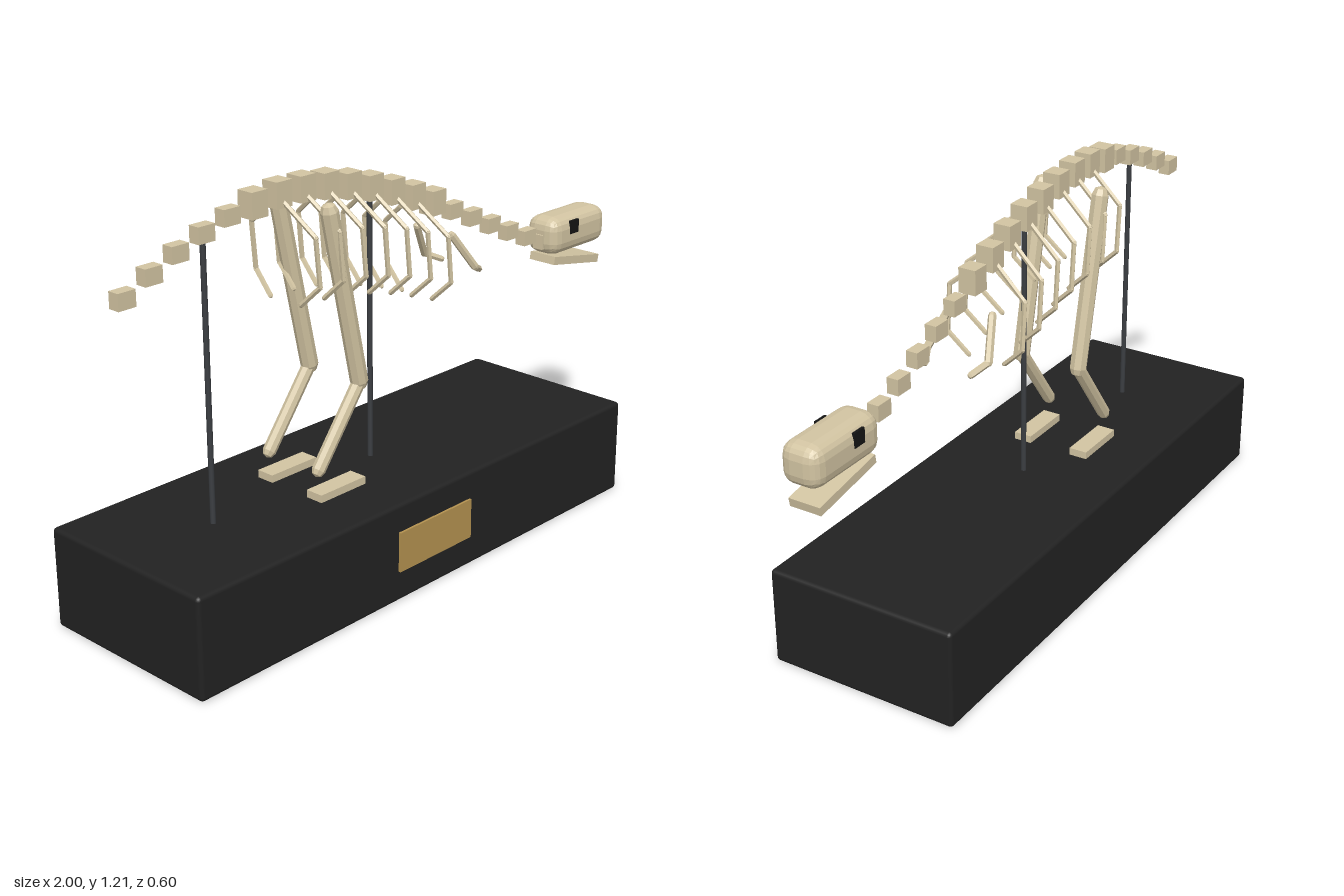
import * as THREE from 'three';
import { RoundedBoxGeometry } from 'three/addons/geometries/RoundedBoxGeometry.js';

const material = (name, color) => {
  const m = new THREE.MeshStandardMaterial({ color });
  m.name = name;
  return m;
};

export function createModel() {
  const root = new THREE.Group();
  root.name = 'mountedSkeleton';
  const bone = material('bone', 0xd2c4a2);
  const black = material('plinthBlack', 0x222222);
  const brass = material('brass', 0xb3914f);
  const steel = material('steel', 0x3b3e42);
  const dark = material('eyeBlack', 0x141414);
  bone.flatShading = true;

  const add = (parent, name, geometry, mat, x = 0, y = 0, z = 0) => {
    const mesh = new THREE.Mesh(geometry, mat);
    mesh.name = name;
    mesh.position.set(x, y, z);
    parent.add(mesh);
    return mesh;
  };
  const group = (name) => {
    const g = new THREE.Group();
    g.name = name;
    root.add(g);
    return g;
  };
  // Round-ended bone between two points
  const limb = (parent, name, a, b, radius, sides = 6) => {
    const from = new THREE.Vector3(...a), to = new THREE.Vector3(...b);
    const dir = to.clone().sub(from);
    const mesh = add(parent, name, new THREE.CapsuleGeometry(radius, dir.length(), 2, sides), bone);
    mesh.position.copy(from).add(to).multiplyScalar(0.5);
    mesh.quaternion.setFromUnitVectors(new THREE.Vector3(0, 1, 0), dir.normalize());
  };

  // Plinth and plaque
  add(root, 'plinth', new RoundedBoxGeometry(1.785, 0.3, 0.595, 2, 0.012), black, -0.107, 0.15, -0.002);
  add(root, 'plaque', new THREE.BoxGeometry(0.305, 0.122, 0.008), brass, -0.107, 0.155, 0.299);

  // Support rods
  for (const x of [-0.684, -0.062])
    add(root, 'supportRod', new THREE.CylinderGeometry(0.008, 0.008, 0.82, 8), steel, x, 0.7, 0);

  // Spine: small blocks in tail and neck, larger ones in the trunk
  const heights = [1.008, 1.05, 1.088, 1.12, 1.147, 1.163, 1.173, 1.172, 1.163, 1.145,
    1.122, 1.093, 1.06, 1.024, 0.979, 0.939, 0.897, 0.856, 0.819, 0.787];
  const spineX = (i) => -0.951 + 0.0891 * i;
  const spine = group('spine');
  heights.forEach((y, i) => {
    const trunk = i >= 5 && i <= 13;
    const size = trunk ? [0.057, 0.074, 0.055] : [0.057, 0.047, 0.036];
    add(spine, 'vertebra', new THREE.BoxGeometry(...size), bone, spineX(i), y, 0);
  });

  // Mirrored ribs, legs, feet and arms
  for (const side of [1, -1]) {
    const label = side > 0 ? 'left' : 'right';
    const ribs = group(label + 'Ribs');
    for (let i = 6; i <= 12; i++) {
      const at = (dx, dy, z) => [spineX(i) + dx, heights[i] + dy, side * z];
      const path = [at(0, -0.02, 0.02), at(0.018, -0.105, 0.124),
        at(0.031, -0.245, 0.125), at(0.022, -0.307, 0.06)];
      for (let k = 0; k < 3; k++) limb(ribs, 'rib', path[k], path[k + 1], 0.0075, 5);
    }

    const z = side * 0.099;
    const leg = group(label + 'Leg');
    limb(leg, 'thigh', [-0.322, 1.12, z], [-0.211, 0.605, z], 0.026, 8);
    limb(leg, 'shin', [-0.211, 0.605, z], [-0.377, 0.385, z], 0.02, 8);
    add(leg, 'foot', new THREE.BoxGeometry(0.177, 0.024, 0.058), bone, -0.307, 0.311, z);

    const arm = group(label + 'Arm');
    const elbow = [0.285, 0.826, side * 0.1];
    limb(arm, 'upperArm', [0.215, 0.932, side * 0.068], elbow, 0.012);
    limb(arm, 'forearm', elbow, [0.335, 0.802, side * 0.075], 0.01);
  }

  // Skull, eyes and open jaw
  const head = group('head');
  add(head, 'skull', new RoundedBoxGeometry(0.28, 0.122, 0.122, 2, 0.04), bone, 0.86, 0.803, 0);
  for (const side of [1, -1])
    add(head, 'eye', new THREE.BoxGeometry(0.043, 0.043, 0.008), dark, 0.822, 0.827, side * 0.059);
  const jaw = add(head, 'jaw', new THREE.BoxGeometry(0.238, 0.026, 0.098), bone, 0.858, 0.706, 0);
  jaw.rotation.z = -0.18;

  return root;
}
